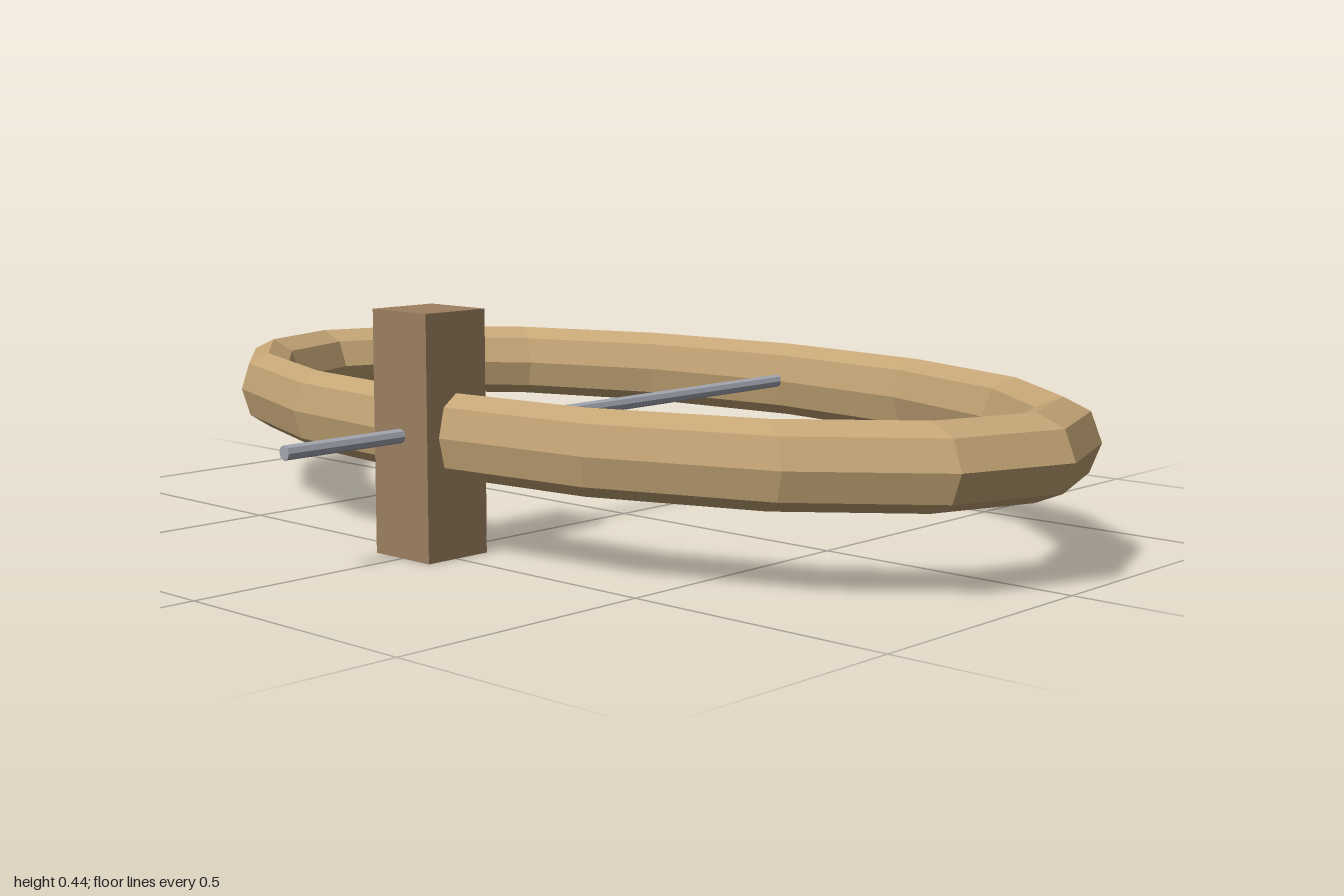
import * as THREE from 'three';

const AXIS_Y = 0.2175;

function part(name, geometry, color) {
  const material = new THREE.MeshStandardMaterial({ color, flatShading: true });
  const mesh = new THREE.Mesh(geometry, material);
  mesh.name = name;
  return mesh;
}

export function createModel() {
  const group = new THREE.Group();

  // Oval wooden hoop: eight-sided tube in sixteen segments, squashed front to back
  const hoop = new THREE.TorusGeometry(0.925, 0.075, 8, 16);
  hoop.rotateX(-Math.PI / 2);
  hoop.scale(1, 1, 0.545);
  hoop.translate(0, AXIS_Y, 0);
  group.add(part('hoop', hoop, 0xc4a576));

  // Upright block clasping the front of the hoop
  const block = new THREE.BoxGeometry(0.14, 0.435, 0.136);
  block.translate(0, 0.2175, 0.496);
  group.add(part('block', block, 0x9c7f60));

  // Thin metal rod through the block and the back of the hoop
  const rod = new THREE.CylinderGeometry(0.013, 0.013, 1.63, 8);
  rod.rotateX(Math.PI / 2);
  rod.translate(0, AXIS_Y, 0);
  group.add(part('rod', rod, 0xa4a8b2));

  return group;
}
